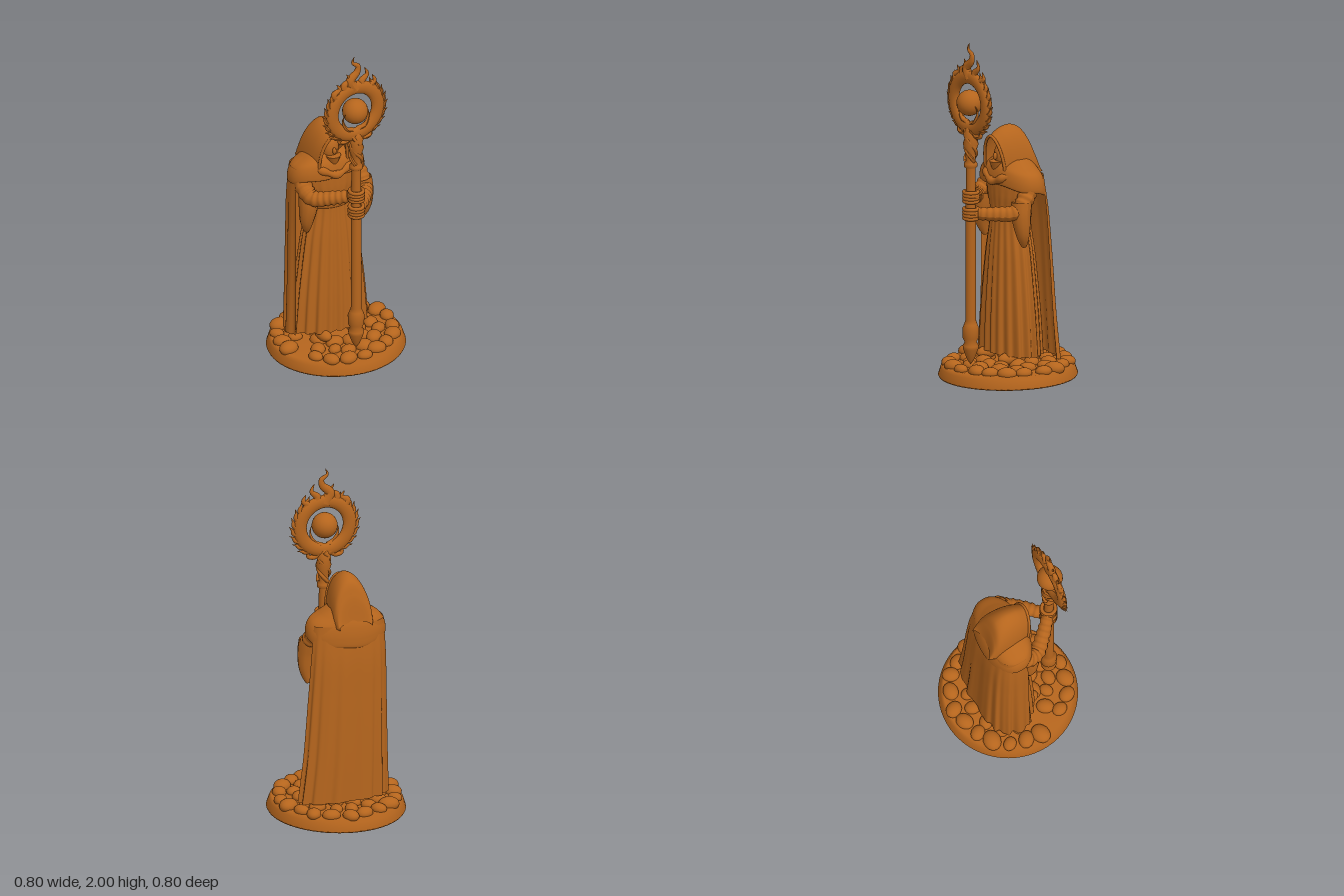
import * as THREE from 'three';
import { ParametricGeometry } from 'three/addons/geometries/ParametricGeometry.js';

const V = (x, y, z) => new THREE.Vector3(x, y, z);
const spline = pts => new THREE.CatmullRomCurve3(pts.map(p => V(...p)));

export function createModel() {
  const model = new THREE.Group();
  const mat = new THREE.MeshStandardMaterial({ color: 0xb5651d, side: THREE.DoubleSide });
  const add = (name, geo, parent = model) => {
    const m = new THREE.Mesh(geo, mat);
    m.name = name;
    parent.add(m);
    return m;
  };
  const ball = (name, r, pos, scale = [1, 1, 1], parent = model) => {
    const m = add(name, new THREE.SphereGeometry(r, 20, 14), parent);
    m.position.set(...pos);
    m.scale.set(...scale);
    return m;
  };
  // Tube whose radius follows a rule along its path
  const limb = (name, pts, radius, parent = model, n = 40, sides = 12) => {
    const path = spline(pts), geo = new THREE.TubeGeometry(path, n, 1, sides);
    const p = geo.attributes.position, v = V(0, 0, 0);
    for (let i = 0; i < p.count; i++) {
      const t = Math.floor(i / (sides + 1)) / n, c = path.getPointAt(t);
      v.fromBufferAttribute(p, i).sub(c).multiplyScalar(radius(t)).add(c);
      p.setXYZ(i, v.x, v.y, v.z);
    }
    geo.computeVertexNormals();
    return add(name, geo, parent);
  };
  // Cloth lofted over [halfWidth, y, halfDepth] sections, from angle a0 to a1 (0 = front)
  const cloth = (name, sections, a0, a1, slices, place) => {
    const prof = spline(sections);
    return add(name, new ParametricGeometry((u, v, out) => {
      const a = a0 + (a1 - a0) * u;
      place(a, v, prof.getPoint(v), out);
    }, slices, 40));
  };
  let seed = 7;
  const rnd = () => (seed = (seed * 16807) % 2147483647) / 2147483647;

  // Slightly tilted round base with cobbles
  const base = new THREE.Group();
  base.name = 'base';
  base.rotation.z = 0.022;
  base.position.y = 0.01;
  model.add(base);
  add('baseDisc', new THREE.LatheGeometry([[0, 0], [0.395, 0], [0.4, 0.01], [0.385, 0.055], [0.37, 0.075], [0, 0.08]]
    .map(p => new THREE.Vector2(...p)), 64), base);
  for (const [radius, count, size] of [[0.325, 21, 0.046], [0.23, 15, 0.045], [0.14, 9, 0.042]]) {
    for (let i = 0; i < count; i++) {
      const a = (i + 0.3 * rnd()) / count * Math.PI * 2, r = radius + (rnd() - 0.5) * 0.03;
      const x = Math.cos(a) * r, z = Math.sin(a) * r, s = size * (0.8 + 0.4 * rnd());
      if (x < -0.2 && z > 0.04 && z < 0.19) continue; // bare earth
      const stone = ball('cobble', s, [x, 0.083, z], [1.15, 0.75, 0.95], base);
      stone.rotation.y = rnd() * 6;
    }
  }

  // Pleated robe
  cloth('robe', [[0.235, 0.15, 0.135], [0.215, 0.4, 0.13], [0.175, 0.72, 0.115], [0.135, 0.97, 0.1],
    [0.17, 1.08, 0.105], [0.17, 1.18, 0.1], [0.08, 1.27, 0.07]], 0, Math.PI * 2, 160, (a, v, p, out) => {
    const pleat = 1 + 0.055 * Math.max(0, 1 - v * 1.25) * (Math.cos(20 * a + Math.sin(3 * a)) + 0.4 * Math.sin(9 * a));
    out.set(-0.025 + p.x * pleat * Math.sin(a), p.y, -0.035 + p.z * pleat * Math.cos(a));
  });
  const sash = add('sash', new THREE.TorusGeometry(1, 0.09, 10, 48));
  sash.rotation.x = Math.PI / 2;
  sash.scale.set(0.135, 0.1, 0.2);
  sash.position.set(-0.025, 0.955, -0.035);
  for (const s of [-1, 1]) ball('boot', 0.045, [-0.02 + s * 0.1, 0.13, 0.06], [0.9, 0.8, 1.5]);

  // Long cape across the back, trailing towards the left foot
  const pow = (x, e) => Math.sign(x) * Math.abs(x) ** e;
  cloth('cape', [[0.285, 0.13, 0.16], [0.265, 0.4, 0.157], [0.248, 0.75, 0.15], [0.236, 1.0, 0.14], [0.22, 1.2, 0.115]],
    1.92, 4.95, 90, (a, v, p, out) => {
      const fold = 1 + 0.035 * (1 - v) * (Math.sin(15 * a) + 0.6 * Math.sin(23 * a + 1));
      out.set(-0.035 + 0.045 * (1 - v) ** 1.5 + p.x * fold * pow(Math.sin(a), 0.75),
        p.y, -0.06 + p.z * fold * pow(Math.cos(a), 0.7));
    });

  // Shoulder mantle, lower at the back
  cloth('mantle', [[0.2, 1.12, 0.11], [0.232, 1.105, 0.138], [0.236, 1.15, 0.14], [0.215, 1.205, 0.13],
    [0.15, 1.25, 0.11], [0.1, 1.285, 0.085]], 0, Math.PI * 2, 80, (a, v, p, out) => {
    const droop = (1 - v) * (0.045 * Math.cos(a) + 0.006 * Math.sin(5 * a));
    out.set(-0.035 + p.x * Math.sin(a), p.y + droop, -0.058 + p.z * pow(Math.cos(a), 0.85));
  });
  limb('scarf', [[-0.19, 1.2, -0.02], [-0.13, 1.195, 0.055], [-0.04, 1.16, 0.085], [0.06, 1.195, 0.055], [0.12, 1.2, -0.02]],
    t => 0.022 + 0.004 * Math.sin(t * 30));

  // Hood: arches of [halfWidth, top, z] swept from the brow to the nape
  const hoodLine = spline([[0.085, 1.42, 0.085], [0.1, 1.46, 0.02], [0.107, 1.472, -0.05],
    [0.107, 1.445, -0.11], [0.1, 1.37, -0.145], [0.09, 1.22, -0.175]]);
  const hoodPoint = (u, v, out) => {
    const p = hoodLine.getPoint(v), b = Math.PI * u, s = Math.max(0, Math.sin(b));
    return out.set(-0.05 - p.x * 1.1 * pow(Math.cos(b), 1.1), 1.19 + (p.y - 1.19) * s ** 0.85, p.z - 0.035 * (1 - s));
  };
  add('hood', new ParametricGeometry((u, v, out) => hoodPoint(u, 1 - v, out), 40, 30));
  limb('hoodRim', Array.from({ length: 13 }, (_, i) => hoodPoint(i / 12, 0, V(0, 0, 0)).toArray()), () => 0.009);
  ball('face', 0.065, [-0.045, 1.3, -0.005], [0.85, 1.25, 0.9]);
  ball('nose', 0.014, [-0.045, 1.3, 0.058], [0.8, 1.5, 1]);
  const beard = add('beard', new THREE.ConeGeometry(0.045, 0.12, 12));
  beard.rotation.x = Math.PI;
  beard.position.set(-0.045, 1.21, 0.045);

  // Arms with wrinkled sleeves, hands gripping the staff one above the other
  const wrinkle = t => 0.056 - 0.02 * t + 0.003 * Math.sin(t * 75);
  limb('rightSleeve', [[-0.19, 1.17, -0.07], [-0.215, 1.09, 0], [-0.2, 1.045, 0.075], [-0.12, 1.065, 0.165], [-0.05, 1.09, 0.23]], wrinkle, model, 70);
  limb('leftSleeve', [[0.12, 1.17, -0.07], [0.155, 1.08, -0.01], [0.155, 1.01, 0.06], [0.09, 1.0, 0.155], [0.02, 1.0, 0.225]], wrinkle, model, 70);
  for (const [name, y] of [['rightHand', 1.1], ['leftHand', 1.0]]) {
    ball(name, 0.045, [-0.015, y, 0.25], [1.1, 0.75, 1.05]);
    for (let i = 0; i < 4; i++) {
      const finger = add('finger', new THREE.TorusGeometry(0.04, 0.011, 8, 20));
      finger.rotation.x = Math.PI / 2;
      finger.position.set(-0.015, y - 0.028 + i * 0.018, 0.255);
    }
  }
  // Hanging sleeve ends
  for (const [name, x] of [['rightSleeveDrape', -0.2], ['leftSleeveDrape', 0.165]]) {
    const s = Math.sign(x);
    limb(name, [[x - s * 0.01, 1.06, 0.02], [x, 0.98, 0.03], [x + s * 0.008, 0.88, 0.025], [x, 0.8, 0.01]],
      t => 0.002 + 0.058 * Math.cos(t * 1.5) ** 0.6).name = name;
  }

  // Staff
  const staff = new THREE.Group();
  staff.name = 'staff';
  staff.position.set(-0.017, 0, 0.255);
  model.add(staff);
  add('shaft', new THREE.LatheGeometry([[0, 0.11], [0.022, 0.14], [0.044, 0.2], [0.046, 0.22], [0.034, 0.24], [0.046, 0.265],
    [0.048, 0.32], [0.038, 0.345], [0.03, 0.37], [0.03, 0.9], [0.027, 1.265], [0.038, 1.275], [0.038, 1.295], [0.027, 1.31],
    [0.031, 1.36], [0.045, 1.41], [0.036, 1.44], [0.042, 1.46], [0.028, 1.5], [0, 1.54]].map(p => new THREE.Vector2(...p)), 24), staff);
  for (let k = 0; k < 3; k++) {
    const pts = Array.from({ length: 12 }, (_, i) => {
      const a = k * 2.094 + i * 0.45;
      return [0.034 * Math.cos(a), 1.31 + i * 0.017, 0.03 * Math.sin(a)];
    });
    limb('staffVine', pts, () => 0.011, staff, 30, 8);
  }

  // Flaming ring around an orb
  const head = new THREE.Group();
  head.name = 'staffHead';
  head.position.set(-0.008, 1.65, 0);
  staff.add(head);
  ball('orb', 0.075, [0, 0, 0.003], [1, 1, 1], head);
  const ring = add('ring', new THREE.TorusGeometry(0.15, 0.04, 14, 72), head);
  ring.scale.z = 0.6;
  for (const s of [-1, 1]) {
    limb('ringStem', [[0, -0.17, 0], [s * 0.045, -0.15, 0], [s * 0.1, -0.13, 0], [s * 0.145, -0.07, 0]], t => 0.026 - 0.01 * t, head, 20);
    limb('ringClaw', [[s * 0.02, -0.14, 0], [s * 0.06, -0.185, 0], [s * 0.1, -0.18, 0], [s * 0.1, -0.15, 0], [s * 0.08, -0.155, 0]],
      t => 0.02 - 0.012 * t, head, 30);
    limb('orbClaw', [[s * 0.02, -0.12, 0], [s * 0.06, -0.1, 0.01], [s * 0.085, -0.04, 0.01], [s * 0.075, 0, 0.02]], t => 0.016 * (1 - t) + 0.001, head, 20);
    // Short licks along the outer edge
    for (let i = 0; i < 8; i++) {
      const a = -0.85 + i * 0.26, at = (r, d) => [s * r * Math.cos(a + d), r * Math.sin(a + d), 0];
      limb('flameLick', [at(0.165, -0.15), at(0.192, -0.05), at(0.2, 0.07), at(0.218, 0.16)], t => 0.021 * (1 - t) + 0.001, head, 14, 8).scale.z = 0.85;
    }
  }
  const tongues = [
    [[0, 0.14, 0], [-0.03, 0.2, 0], [0.015, 0.25, 0], [0.02, 0.285, 0], [-0.015, 0.315, 0], [-0.005, 0.35, 0]],
    [[-0.06, 0.13, 0], [-0.07, 0.18, 0], [-0.035, 0.21, 0], [-0.055, 0.25, 0]],
    [[-0.11, 0.1, 0], [-0.135, 0.14, 0], [-0.1, 0.165, 0], [-0.12, 0.2, 0]],
    [[0.06, 0.13, 0], [0.045, 0.18, 0], [0.08, 0.22, 0], [0.065, 0.265, 0]],
    [[0.11, 0.1, 0], [0.1, 0.14, 0], [0.13, 0.165, 0], [0.115, 0.205, 0]],
  ];
  tongues.forEach((pts, i) => {
    limb('flameTongue', pts, t => (i ? 0.03 : 0.036) * (1 - t) ** 0.8 + 0.001, head).scale.z = 0.75;
  });
  return model;
}
